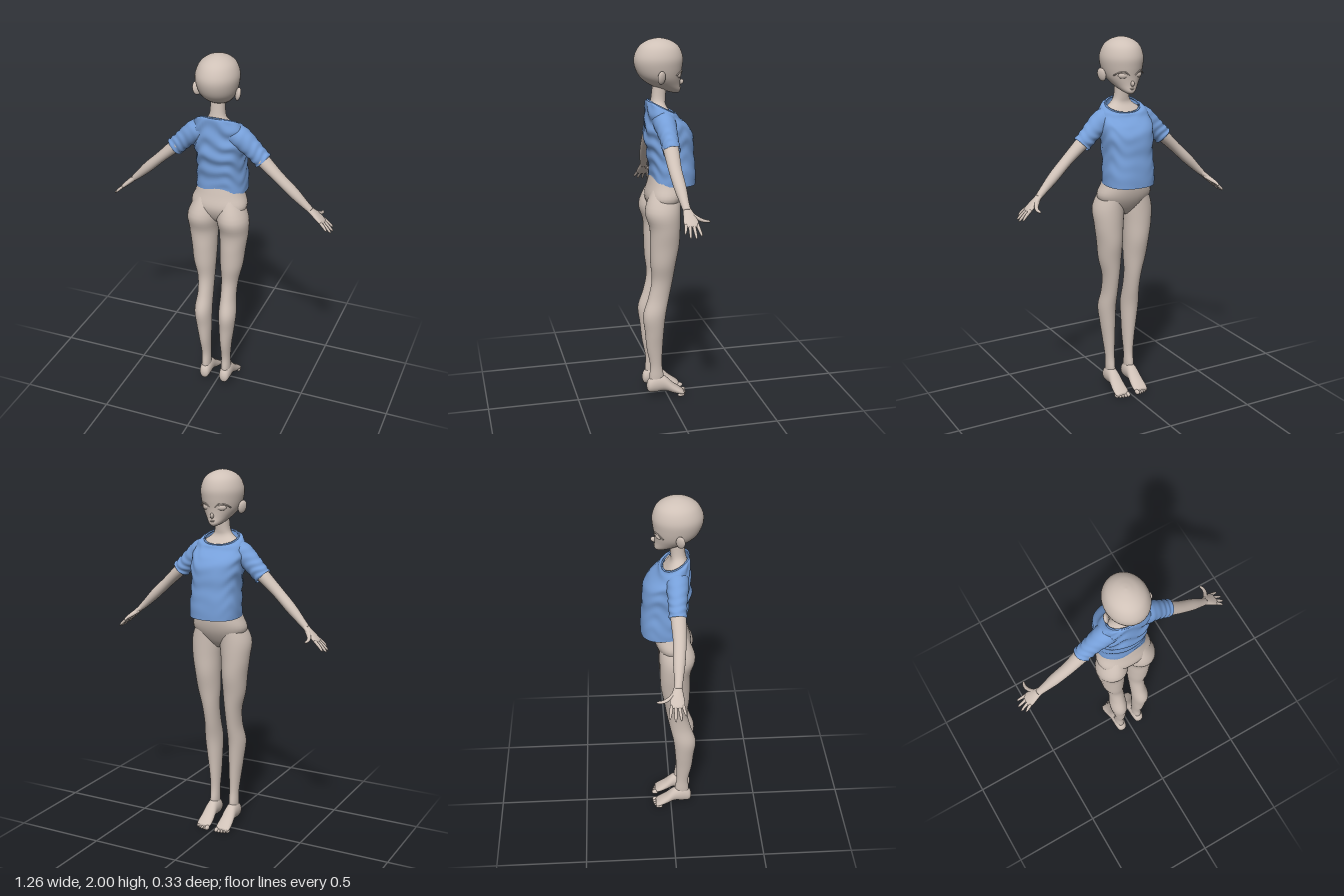
import * as THREE from 'three';

const skin = new THREE.MeshStandardMaterial({ color: 0xcfc1b7 });
skin.name = 'skin';
const cloth = new THREE.MeshStandardMaterial({ color: 0x769fd9, side: THREE.DoubleSide });
cloth.name = 'blue cloth';

const V = (x, y, z) => new THREE.Vector3(x, y, z);
const X = V(1, 0, 0), Y = V(0, 1, 0), Z = V(0, 0, 1);

// Smooth tube through rows [x, y, z, radiusU, radiusV, tilt]; rings lie in the plane of u and v
function loft(rows, u, v, { segs = 32, steps = 5, power = 2, caps = true, ripple = () => 0 } = {}) {
  const pos = [], index = [], rings = (rows.length - 1) * steps;
  const value = (j, c) => rows[Math.max(0, Math.min(rows.length - 1, j))][c] ?? 0;
  const sample = (k) => {
    const i = Math.min(Math.floor(k), rows.length - 2), t = k - i;
    return [0, 1, 2, 3, 4, 5].map((c) => {
      const [a, b, d, e] = [value(i - 1, c), value(i, c), value(i + 1, c), value(i + 2, c)];
      return b + 0.5 * t * (d - a + t * (2 * a - 5 * b + 4 * d - e + t * (3 * (b - d) + e - a)));
    });
  };
  const curve = (q) => Math.sign(q) * Math.pow(Math.abs(q), 2 / power);
  for (let r = 0; r <= rings; r++) {
    const [x, y, z, ru, rv, tilt] = sample(r / steps);
    for (let s = 0; s < segs; s++) {
      const a = (s / segs) * Math.PI * 2, c = curve(Math.cos(a)), n = curve(Math.sin(a));
      const grow = ripple(a, y, r / rings);
      const p = V(x, y + tilt * n, z).addScaledVector(u, c * (ru + grow)).addScaledVector(v, n * (rv + grow));
      pos.push(p.x, p.y, p.z);
    }
  }
  const [first, last] = [rows[0], rows[rows.length - 1]].map(([x, y, z]) => V(x, y, z));
  const flip = u.clone().cross(v).dot(last.clone().sub(first)) < 0;
  const tri = (a, b, c) => (flip ? index.push(a, c, b) : index.push(a, b, c));
  for (let r = 0; r < rings; r++) for (let s = 0; s < segs; s++) {
    const a = r * segs + s, b = r * segs + (s + 1) % segs;
    tri(a, b, b + segs);
    tri(a, b + segs, a + segs);
  }
  if (caps) {
    const n = pos.length / 3;
    pos.push(first.x, first.y, first.z, last.x, last.y, last.z);
    for (let s = 0; s < segs; s++) {
      const t = (s + 1) % segs;
      tri(n, t, s);
      tri(n + 1, rings * segs + s, rings * segs + t);
    }
  }
  const g = new THREE.BufferGeometry();
  g.setAttribute('position', new THREE.Float32BufferAttribute(pos, 3));
  g.setIndex(index);
  g.computeVertexNormals();
  return g;
}

// Rows for the left side (s = 1) or mirrored to the right side (s = -1)
const sided = (s, rows) => rows.map(([x, ...rest]) => [s * x, ...rest]);

function add(parent, name, geometry, material = skin) {
  const m = new THREE.Mesh(geometry, material);
  m.name = name;
  parent.add(m);
  return m;
}

function ball(parent, name, x, y, z, rx, ry, rz) {
  const m = add(parent, name, new THREE.SphereGeometry(1, 20, 14));
  m.position.set(x, y, z);
  m.scale.set(rx, ry, rz);
  return m;
}

function group(parent, name) {
  const g = new THREE.Group();
  g.name = name;
  parent.add(g);
  return g;
}

function buildHead(parent) {
  const head = group(parent, 'head');
  add(head, 'skull', loft([
    [0, 1.713, -0.058, 0.012, 0.014], [0, 1.728, -0.035, 0.036, 0.046], [0, 1.76, 0.003, 0.066, 0.082],
    [0, 1.8, 0.027, 0.093, 0.108], [0, 1.85, 0.036, 0.108, 0.125], [0, 1.9, 0.037, 0.112, 0.129],
    [0, 1.95, 0.035, 0.095, 0.109], [0, 1.98, 0.035, 0.065, 0.074], [0, 1.995, 0.035, 0.03, 0.035],
    [0, 2, 0.035, 0.003, 0.003]], X, Z, { segs: 40 }));
  ball(head, 'nose', 0, 1.769, -0.083, 0.009, 0.014, 0.017).rotation.x = 0.5;
  ball(head, 'lips', 0, 1.741, -0.072, 0.016, 0.006, 0.012);
  for (const s of [-1, 1]) {
    ball(head, 'ear', s * 0.112, 1.808, 0.045, 0.013, 0.036, 0.025).rotation.set(0.15, s * 0.5, -s * 0.25);
    ball(head, 'eye', s * 0.045, 1.812, -0.061, 0.025, 0.017, 0.013).rotation.y = s * -0.45;
    // upper lash sweeps outward towards the temple
    const lash = new THREE.CatmullRomCurve3([
      V(s * 0.017, 1.812, -0.081), V(s * 0.04, 1.831, -0.079), V(s * 0.066, 1.828, -0.062), V(s * 0.088, 1.812, -0.038)]);
    add(head, 'upperLash', new THREE.TubeGeometry(lash, 14, 0.0035, 6));
  }
}

function buildLeg(parent, s) {
  const leg = group(parent, s > 0 ? 'leftLeg' : 'rightLeg');
  add(leg, 'legShape', loft(sided(s, [
    [0.066, 1.22, 0.01, 0.05, 0.075], [0.083, 1.1, 0.033, 0.085, 0.096], [0.087, 1, 0.022, 0.079, 0.083],
    [0.082, 0.9, 0.023, 0.07, 0.08], [0.078, 0.8, 0.03, 0.062, 0.07], [0.07, 0.7, 0.033, 0.047, 0.058],
    [0.068, 0.6, 0.052, 0.043, 0.058], [0.072, 0.5, 0.077, 0.048, 0.063], [0.068, 0.4, 0.077, 0.042, 0.053],
    [0.063, 0.3, 0.075, 0.033, 0.045], [0.06, 0.2, 0.067, 0.026, 0.034], [0.06, 0.13, 0.064, 0.026, 0.04],
    [0.06, 0.08, 0.066, 0.024, 0.038]]), X, Z));
  add(leg, 'foot', loft(sided(s, [
    [0.06, 0.072, 0.12, 0.008, 0.012], [0.06, 0.074, 0.108, 0.026, 0.038], [0.06, 0.084, 0.07, 0.033, 0.052],
    [0.06, 0.08, 0.02, 0.034, 0.045], [0.06, 0.047, -0.03, 0.04, 0.03], [0.06, 0.026, -0.07, 0.042, 0.019],
    [0.061, 0.018, -0.09, 0.034, 0.01]]), X, Y, { segs: 24 }));
  for (let i = 0; i < 5; i++) {
    const size = i ? 0.008 : 0.012;
    ball(leg, 'toe', s * (0.03 + i * 0.0155), size + 0.002, -0.09 + i * i * 0.0012, size, size + 0.002, 0.02);
  }
}

function buildArm(parent, s) {
  const arm = group(parent, s > 0 ? 'leftArm' : 'rightArm');
  const u = V(s * 0.7, 0.714, 0);
  add(arm, 'armShape', loft(sided(s, [
    [0.12, 1.57, 0.03, 0.05, 0.05], [0.18, 1.515, 0.028, 0.042, 0.043], [0.25, 1.452, 0.027, 0.035, 0.04],
    [0.33, 1.378, 0.028, 0.029, 0.034], [0.41, 1.302, 0.021, 0.028, 0.031], [0.47, 1.243, 0.015, 0.021, 0.023],
    [0.505, 1.21, 0.01, 0.016, 0.02]]), u, Z, { segs: 24 }));
  add(arm, 'palm', loft(sided(s, [
    [0.49, 1.223, 0.012, 0.014, 0.018], [0.52, 1.196, 0.006, 0.015, 0.028], [0.55, 1.169, 0.003, 0.013, 0.037],
    [0.57, 1.151, 0.003, 0.011, 0.037], [0.578, 1.144, 0.003, 0.006, 0.033]]), u, Z, { segs: 20 }));
  // four fingers fan out slightly, from little finger to index finger
  const tips = [[0.607, 0.042], [0.624, 0.02], [0.627, -0.008], [0.618, -0.036]];
  tips.forEach(([tx, tz], i) => {
    const z = 0.031 - i * 0.019, ty = 1.1 + (0.625 - tx) * 0.95;
    add(arm, 'finger', loft(sided(s, [
      [0.565, 1.156, z, 0.008, 0.009], [(0.565 + tx) / 2, (1.156 + ty) / 2 + 0.002, (z + tz) / 2, 0.008, 0.008],
      [tx - 0.008, ty + 0.008, tz, 0.006, 0.006], [tx, ty, tz, 0.001, 0.001]]), u, Z, { segs: 10, steps: 3 }));
  });
  add(arm, 'thumb', loft(sided(s, [
    [0.515, 1.198, -0.005, 0.016, 0.013], [0.54, 1.175, -0.04, 0.012, 0.011], [0.548, 1.165, -0.068, 0.009, 0.008],
    [0.545, 1.16, -0.09, 0.007, 0.006], [0.543, 1.158, -0.1, 0.001, 0.001]]), X, Y, { segs: 12 }));
  // sleeve with soft creases near the cuff
  add(arm, 'sleeve', loft(sided(s, [
    [0.075, 1.59, 0.03, 0.062, 0.058], [0.12, 1.567, 0.03, 0.061, 0.058], [0.175, 1.523, 0.027, 0.053, 0.05],
    [0.215, 1.484, 0.025, 0.049, 0.046], [0.247, 1.453, 0.024, 0.049, 0.045]]), u, Z, {
    caps: false, steps: 8, ripple: (a, y, t) => 0.003 * t * Math.sin(34 * t + 2 * Math.sin(2 * a + s)) }), cloth);
}

export function createModel() {
  const model = new THREE.Group();
  model.name = 'mannequin';

  // body beneath the shirt, hips to neck
  add(model, 'torso', loft([
    [0, 1.05, 0.015, 0.03, 0.025], [0, 1.09, 0.018, 0.1, 0.065], [0, 1.16, 0.013, 0.154, 0.097],
    [0, 1.24, -0.002, 0.131, 0.095], [0, 1.34, -0.005, 0.108, 0.078], [0, 1.45, 0, 0.112, 0.083],
    [0, 1.56, 0.018, 0.12, 0.078], [0, 1.62, 0.034, 0.105, 0.055], [0, 1.655, 0.042, 0.06, 0.042],
    [0, 1.69, 0.038, 0.041, 0.038], [0, 1.77, 0.03, 0.038, 0.037]], X, Z, { power: 2.2 }));
  buildHead(model);

  // shirt body: the neckline scoops down at the front, creases gather at the back
  add(model, 'shirt', loft([
    [0, 1.233, -0.035, 0.137, 0.124, 0.006], [0, 1.3, -0.037, 0.137, 0.122], [0, 1.4, -0.026, 0.131, 0.124],
    [0, 1.49, -0.017, 0.139, 0.127], [0, 1.55, -0.006, 0.142, 0.11, 0.005], [0, 1.6, 0.016, 0.138, 0.087, 0.016],
    [0, 1.637, 0.022, 0.12, 0.078, 0.03], [0, 1.645, 0.026, 0.094, 0.066, 0.034]], X, Z, {
    segs: 64, steps: 9, power: 2.4, caps: false,
    ripple: (a, y, t) => (0.0016 + 0.0022 * (1 + Math.sin(a))) * Math.sin(Math.PI * t)
      * Math.sin(75 * y + 2.2 * Math.sin(3 * a) + 1.5 * Math.sin(5 * a + 9 * y)) }), cloth);
  // rolled collar edge
  const rim = [];
  for (let i = 0; i < 24; i++) {
    const a = (i / 24) * Math.PI * 2;
    rim.push(V(0.096 * Math.cos(a), 1.645 + 0.034 * Math.sin(a), 0.026 + 0.068 * Math.sin(a)));
  }
  add(model, 'collar', new THREE.TubeGeometry(new THREE.CatmullRomCurve3(rim, true), 60, 0.005, 6, true), cloth);

  for (const s of [-1, 1]) {
    buildLeg(model, s);
    buildArm(model, s);
  }
  return model;
}
